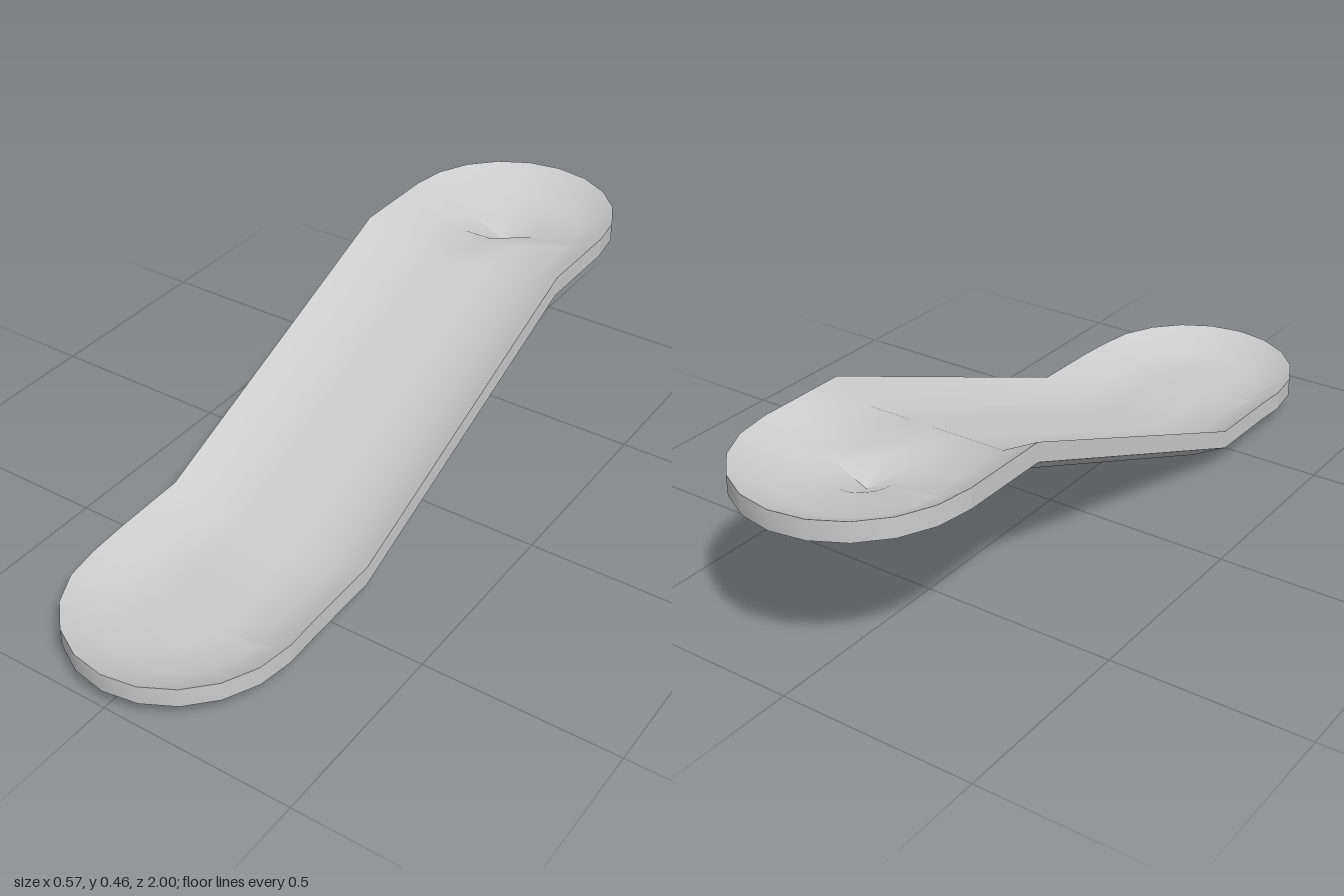
import * as THREE from 'three';
import { toCreasedNormals } from 'three/addons/utils/BufferGeometryUtils.js';

const HALF = 0.285, FLOOR = 0.19, DIMPLE = 0.08;   // half widths of rim, flat floor, centre dimple
const THICK = 0.05, DEPTH = 0.05, END_Z = 0.7, TIP = 0.3;
const material = new THREE.MeshStandardMaterial({ color: 0xcccccc, side: THREE.DoubleSide });

// Upper surface from the centre outwards, as [distance from centre, height]
const halfProfile = (rim, dip) => [
  [0, rim - DEPTH - dip], [DIMPLE, rim - DEPTH - dip * 0.15], [FLOOR, rim - DEPTH], [HALF, rim],
];

// Closed cross-section: underside left to right, then upper surface right to left
function section(rim, dip) {
  const right = halfProfile(rim, dip);
  const left = right.slice(1).reverse().map(([x, y]) => [-x, y]);
  const top = [...left, ...right];
  return [...top.map(([x, y]) => [x, y - THICK]), ...top.reverse()];
}

function add(group, name, geometry) {
  const mesh = new THREE.Mesh(toCreasedNormals(geometry, 0.75), material);
  mesh.name = name;
  group.add(mesh);
}

// Chute lofted through stations of [z, rim height, dimple depth]
function chuteGeometry(stations) {
  const positions = [], index = [];
  const rings = stations.map(([z, rim, dip]) => section(rim, dip).map(([x, y]) => [x, y, z]));
  const n = rings[0].length;
  rings.forEach((ring) => ring.forEach((p) => positions.push(...p)));
  for (let i = 0; i < rings.length - 1; i++) {
    for (let j = 0; j < n; j++) {
      const a = i * n + j, b = i * n + (j + 1) % n, c = b + n, d = a + n;
      index.push(a, d, b, b, d, c);
    }
  }
  const geometry = new THREE.BufferGeometry();
  geometry.setAttribute('position', new THREE.Float32BufferAttribute(positions, 3));
  geometry.setIndex(index);
  geometry.computeVertexNormals();
  return geometry;
}

// Half-round dish closing one end of the chute
function dishGeometry(rim, dip, facing) {
  const top = halfProfile(rim, dip);
  const outline = [...top.map(([r, y]) => [r, y - THICK]), ...top.reverse()];
  const geometry = new THREE.LatheGeometry(
    outline.map(([r, y]) => new THREE.Vector2(r, y)), 10,
    facing > 0 ? -Math.PI / 2 : Math.PI / 2, Math.PI);
  geometry.scale(1, 1, TIP / HALF);
  geometry.translate(0, 0, facing * END_Z);
  return geometry;
}

export function createModel() {
  const group = new THREE.Group();
  group.name = 'slide';
  add(group, 'chute', chuteGeometry([
    [END_Z, 0.1, 0], [0.6, 0.106, 0], [0.4, 0.11, 0],
    [-0.46, 0.46, 0], [-0.62, 0.46, 0], [-END_Z, 0.46, 0.045],
  ]));
  add(group, 'lowerDish', dishGeometry(0.1, 0, 1));
  add(group, 'upperDish', dishGeometry(0.46, 0.045, -1));
  return group;
}
